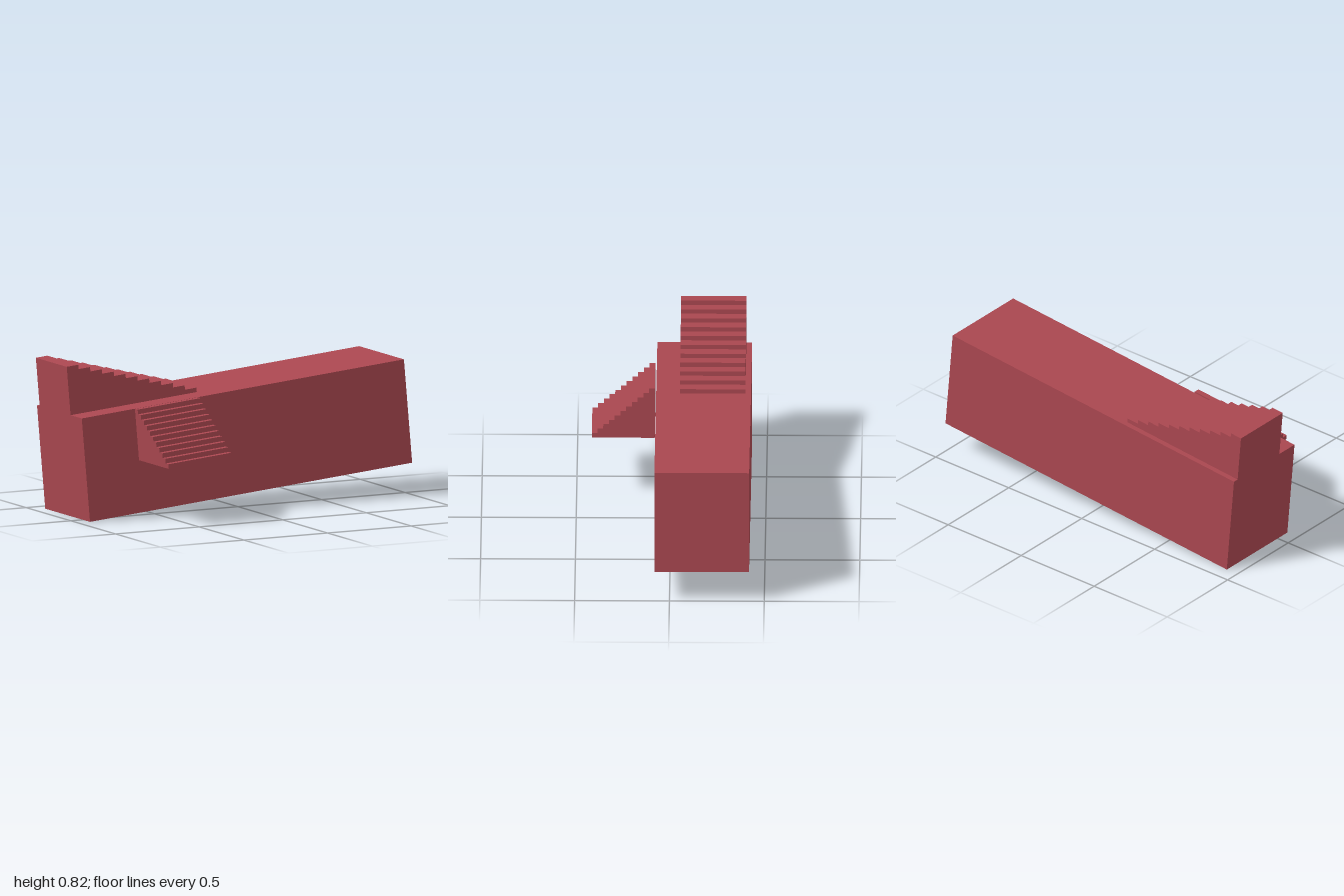
import * as THREE from 'three';

// Solid staircase: highest at run 0, descending toward +x, extruded along +z.
function stairGeometry(steps, run, height, width) {
  const shape = new THREE.Shape();
  const tread = run / steps, rise = height / steps;
  shape.moveTo(0, 0);
  shape.lineTo(run, 0);
  for (let i = 1; i <= steps; i++) {
    shape.lineTo(run - (i - 1) * tread, i * rise);
    shape.lineTo(run - i * tread, i * rise);
  }
  return new THREE.ExtrudeGeometry(shape, { depth: width, bevelEnabled: false });
}

export function createModel() {
  const red = new THREE.MeshStandardMaterial({ color: 0xaa4750 });
  red.name = 'brick red';

  const length = 1.935, height = 0.558, depth = 0.5;
  const model = new THREE.Group();
  model.name = 'blockWithStairs';

  // Everything shares one tilted frame, pivoting on the low bottom corner
  const tilted = new THREE.Group();
  tilted.name = 'tiltedBody';
  tilted.position.set(-0.928, 0, 0);
  tilted.rotation.z = 0.0883;
  model.add(tilted);

  function add(name, geometry, x, y, z) {
    const mesh = new THREE.Mesh(geometry, red);
    mesh.name = name;
    mesh.position.set(x, y, z);
    tilted.add(mesh);
    return mesh;
  }

  // Long main block
  add('mainBlock', new THREE.BoxGeometry(length, height, depth), length / 2, height / 2, -0.17);

  // Stairs on top, climbing toward the low end
  add('topStairs', stairGeometry(11, 0.758, 0.261, 0.345), 0, height, -0.39);

  // Stairs in front, climbing toward the block with a narrow gap behind
  const front = stairGeometry(11, 0.332, 0.277, 0.378).rotateY(-Math.PI / 2);
  add('frontStairs', front, 0.693, 0.282, 0.088);

  return model;
}
